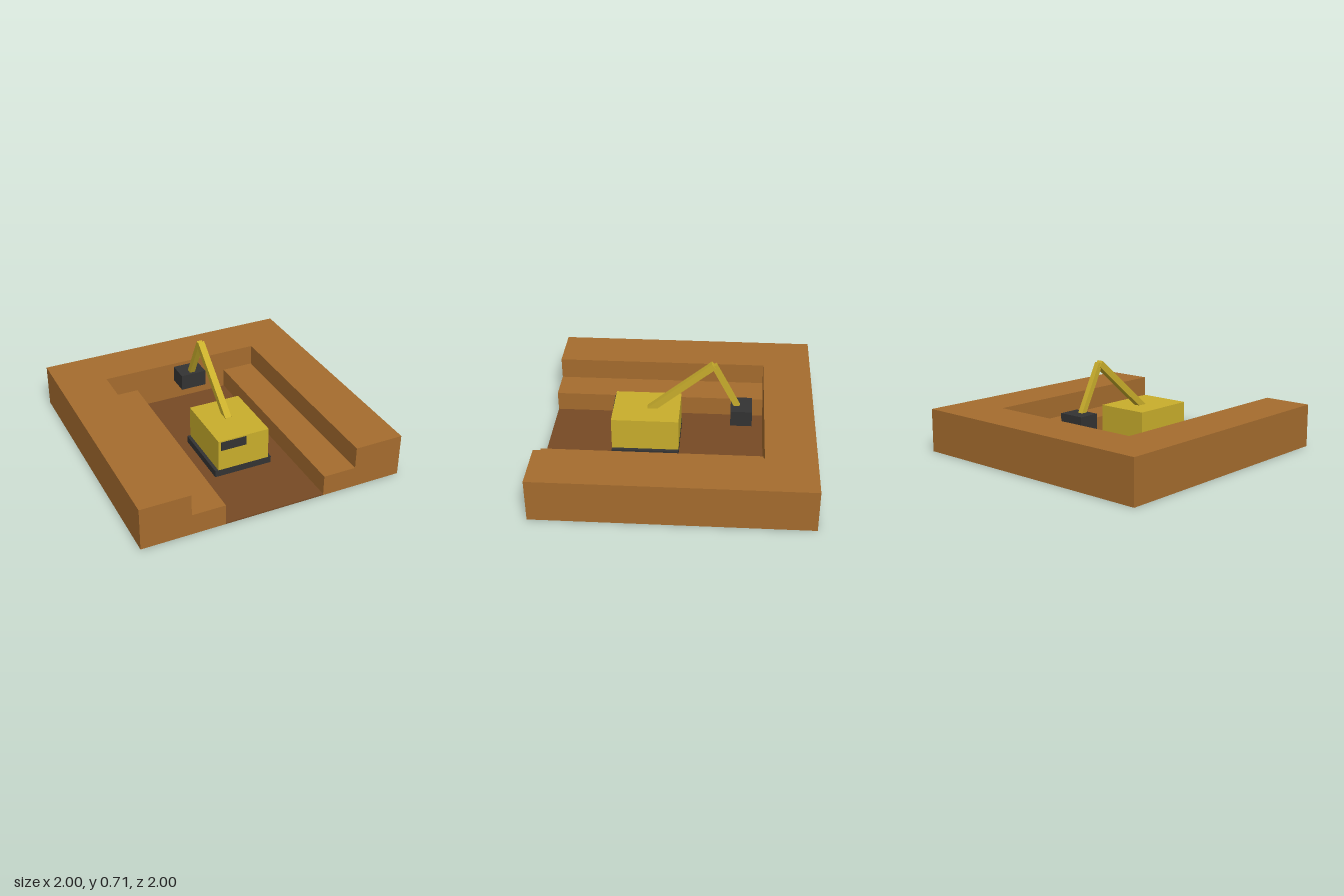
import * as THREE from 'three';

const material = (name, color) => {
  const m = new THREE.MeshStandardMaterial({ color });
  m.name = name;
  return m;
};

export function createModel() {
  const soil = material('soil', 0xa56c2e);
  const clay = material('dark clay', 0x774a24);
  const yellow = material('machine yellow', 0xc9ae2c);
  const black = material('charcoal', 0x333333);

  const group = new THREE.Group();
  const add = (parent, name, geometry, mat) => {
    const mesh = new THREE.Mesh(geometry, mat);
    mesh.name = name;
    parent.add(mesh);
    return mesh;
  };

  // Box given by its limits on each axis
  const box = (parent, name, mat, [x0, x1], [y0, y1], [z0, z1]) => {
    const mesh = add(parent, name, new THREE.BoxGeometry(x1 - x0, y1 - y0, z1 - z0), mat);
    mesh.position.set((x0 + x1) / 2, (y0 + y1) / 2, (z0 + z1) / 2);
    return mesh;
  };

  // Square beam between two points [y, z] in the middle plane
  const beam = (parent, name, size, [y0, z0], [y1, z1]) => {
    const length = Math.hypot(y1 - y0, z1 - z0);
    const mesh = add(parent, name, new THREE.BoxGeometry(size, size, length), yellow);
    mesh.position.set(0, (y0 + y1) / 2, (z0 + z1) / 2);
    mesh.rotation.x = Math.atan2(-(y1 - y0), z1 - z0);
    return mesh;
  };

  // Pit: back bank, stepped side banks and floor, open to the front
  const pit = new THREE.Group();
  pit.name = 'pit';
  group.add(pit);
  const top = 0.325, back = -0.63;
  box(pit, 'backBank', soil, [-1, 1], [0, top], [-1, back]);
  for (const side of [-1, 1]) {
    const profile = [[0.38, 0], [1, 0], [1, top], [0.63, top], [0.63, 0.16], [0.38, 0.16]];
    const shape = new THREE.Shape(profile.map(([x, y]) => new THREE.Vector2(side * x, y)));
    const geometry = new THREE.ExtrudeGeometry(shape, { depth: 1 - back, bevelEnabled: false });
    add(pit, side > 0 ? 'leftSteppedBank' : 'rightSteppedBank', geometry, soil).position.z = back;
  }
  box(pit, 'pitFloor', clay, [-0.38, 0.38], [0, 0.01], [back, 1]);

  // Excavator: tracks, body, window, boom, stick and bucket
  const excavator = new THREE.Group();
  excavator.name = 'excavator';
  group.add(excavator);
  box(excavator, 'tracks', black, [-0.225, 0.225], [0.01, 0.063], [0, 0.5]);
  box(excavator, 'body', yellow, [-0.2, 0.2], [0.063, 0.31], [0, 0.5]);
  box(excavator, 'window', black, [-0.18, 0.02], [0.23, 0.3], [0.498, 0.505]);
  beam(excavator, 'boom', 0.05, [0.293, 0.229], [0.688, -0.25]);
  beam(excavator, 'stick', 0.04, [0.69, -0.25], [0.32, -0.442]);
  box(excavator, 'bucket', black, [-0.1, 0.1], [0.23, 0.353], [-0.54, -0.38]);

  return group;
}
